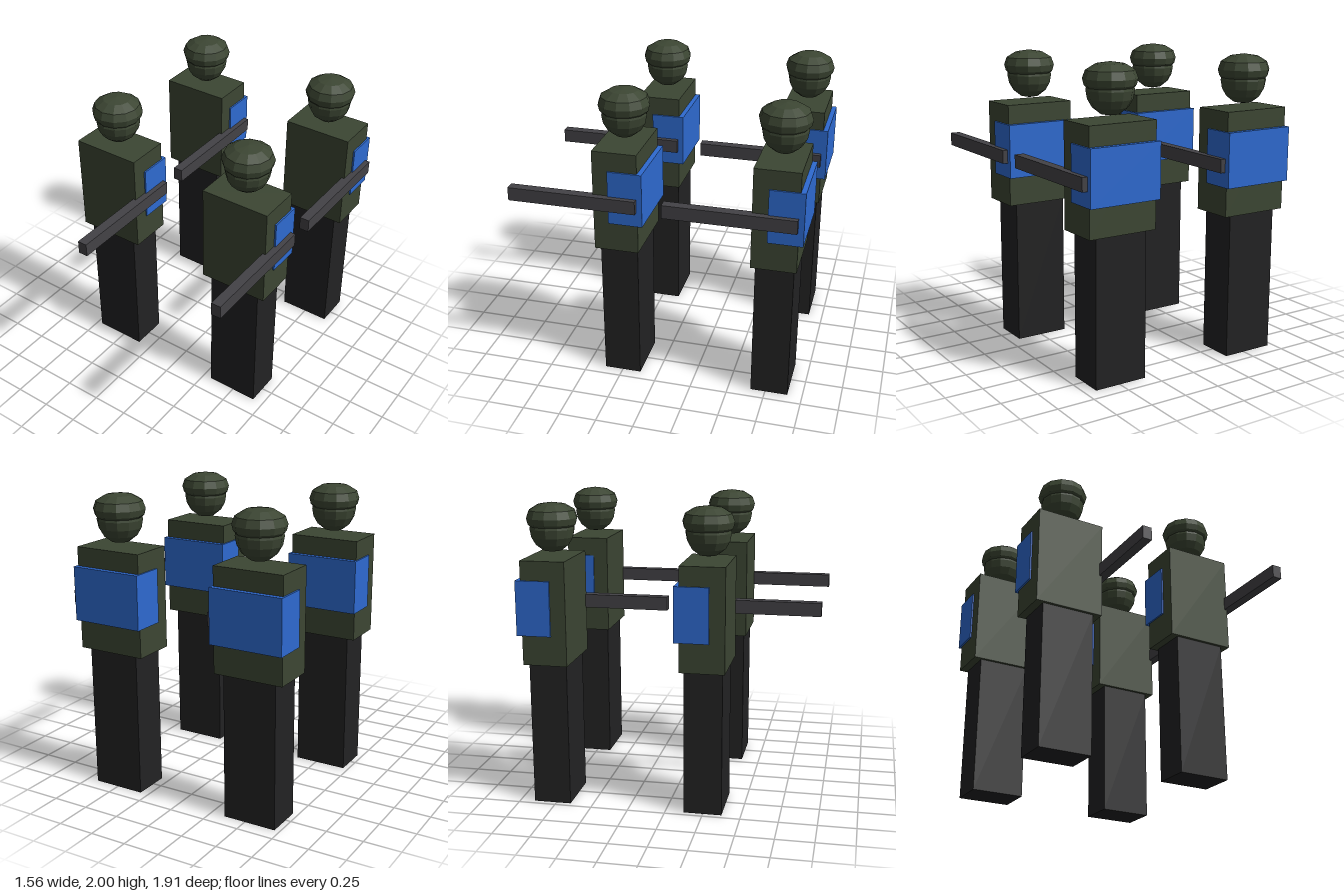
import * as THREE from 'three';

const material = (name, color) => {
  const m = new THREE.MeshStandardMaterial({ color });
  m.name = name;
  return m;
};

export function createModel() {
  const olive = material('olive green', 0x3c4633);
  const black = material('trouser black', 0x222223);
  const blue = material('pack blue', 0x2e6ad0);
  const grey = material('gun grey', 0x434246);

  const add = (parent, name, geometry, mat, x, y, z) => {
    const mesh = new THREE.Mesh(geometry, mat);
    mesh.name = name;
    mesh.position.set(x, y, z);
    parent.add(mesh);
  };
  // Faceted turned shape from [radius, height] pairs, bottom to top
  const turned = (profile) => {
    const g = new THREE.LatheGeometry(profile.map(([r, y]) => new THREE.Vector2(r, y)), 12).toNonIndexed();
    g.computeVertexNormals();
    return g;
  };

  const legs = new THREE.BoxGeometry(0.363, 0.97, 0.25);
  const torso = new THREE.BoxGeometry(0.475, 0.682, 0.293);
  const pack = new THREE.BoxGeometry(0.497, 0.36, 0.225);
  const gun = new THREE.BoxGeometry(0.066, 0.09, 0.853);
  const head = turned([[0, 1.677], [0.06, 1.688], [0.11, 1.727], [0.138, 1.776], [0.148, 1.83], [0.14, 1.87]]);
  const helmet = turned([[0, 1.838], [0.138, 1.838], [0.158, 1.86], [0.168, 1.9], [0.15, 1.95], [0.09, 1.986], [0, 2]]);

  const createSoldier = (x, z) => {
    const soldier = new THREE.Group();
    soldier.name = 'soldier';
    add(soldier, 'legs', legs, black, 0, 0.485, 0);
    add(soldier, 'torso', torso, olive, 0, 1.311, 0);
    add(soldier, 'backpack', pack, blue, 0, 1.345, -0.067);
    add(soldier, 'gun', gun, grey, 0.25, 1.31, 0.284);
    add(soldier, 'head', head, olive, 0, 0, 0);
    add(soldier, 'helmet', helmet, olive, 0, 0, 0);
    soldier.position.set(x, 0, z);
    return soldier;
  };

  // Two ranks of two
  const squad = new THREE.Group();
  squad.name = 'squad';
  for (const x of [-0.532, 0.492]) {
    for (const z of [0.249, -0.776]) squad.add(createSoldier(x, z));
  }
  return squad;
}
